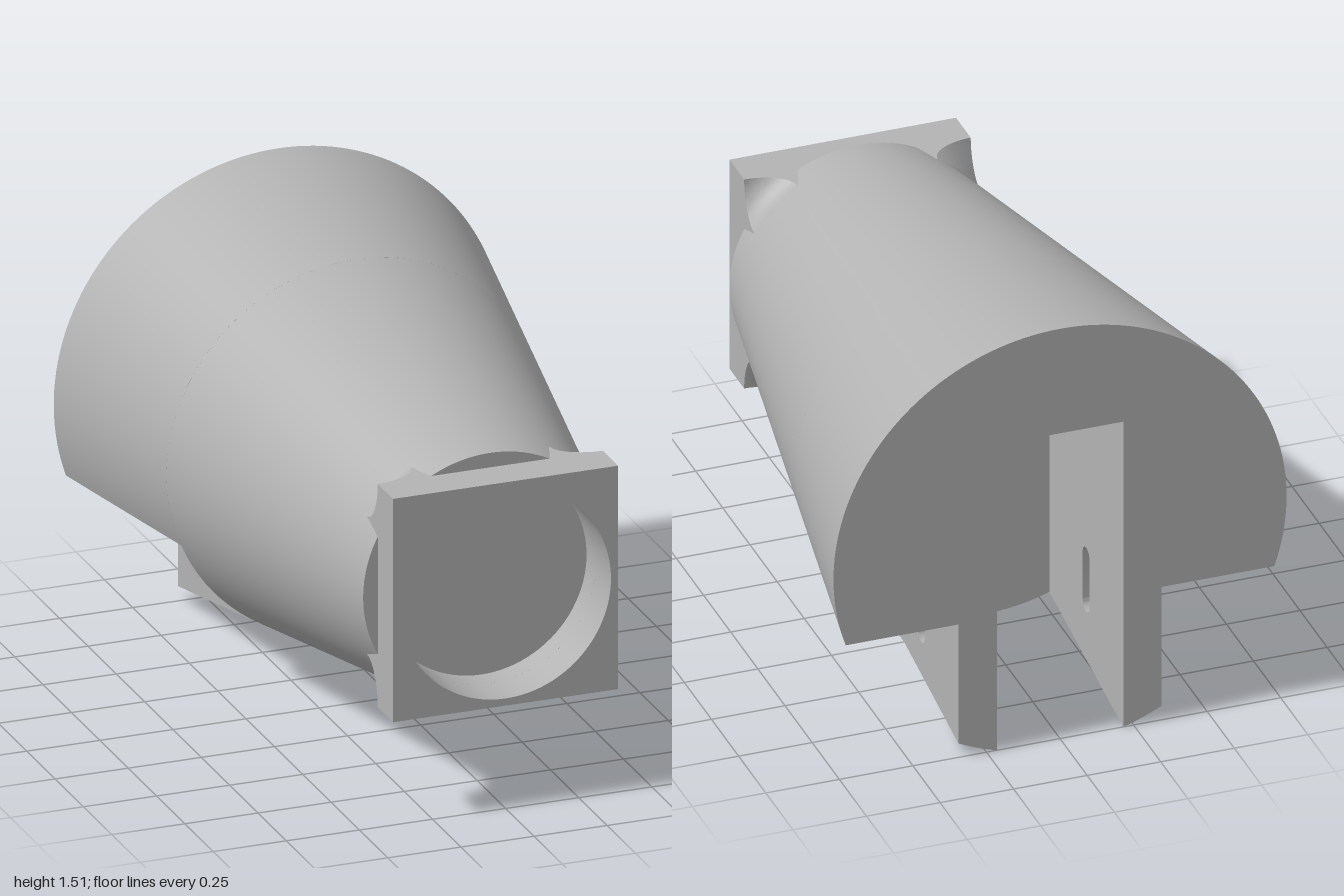
import * as THREE from 'three';
import { toCreasedNormals } from 'three/addons/utils/BufferGeometryUtils.js';

const AXIS_Y = 0.74;          // height of the cone axis
const BACK = -1, STEP = -0.32, NECK = 0.865, FRONT = 1;
const HALF = 0.385;           // half side of the square flange
const BORE = 0.36, BORE_FLOOR = 0.785;
const SLOT = 0.215, LEG = 0.345, NOTCH = -0.25; // relative to the axis
const SEG = 96;

// Radius of the tapered body at depth z
const radius = (z) => 0.435 + (0.77 - 0.435) * (NECK - z) / (NECK - BACK);

// Applies a rule to every vertex
function reshape(geo, rule) {
  const p = geo.attributes.position, v = new THREE.Vector3();
  for (let i = 0; i < p.count; i++) {
    v.fromBufferAttribute(p, i);
    rule(v);
    p.setXYZ(i, v.x, v.y, v.z);
  }
  return geo;
}

// Front cone, including the end ring and the blind bore
function frontCone() {
  const pts = [[0, STEP], [radius(STEP), STEP], [radius(NECK), NECK],
    [BORE, NECK], [BORE, BORE_FLOOR], [0, BORE_FLOOR]].map(([r, z]) => new THREE.Vector2(r, z));
  return new THREE.LatheGeometry(pts, SEG).rotateX(Math.PI / 2);
}

// Rear cone above the side notches, with the central slot
function rearCone() {
  const limit = (r) => Math.PI / 2 + Math.asin(-NOTCH / r); // arc end, from the top
  const R0 = radius(BACK), end0 = limit(R0), pts = [];
  for (let i = 0; i <= SEG; i++) {
    const a = end0 * (1 - 2 * i / SEG);
    pts.push(new THREE.Vector2(R0 * Math.sin(a), R0 * Math.cos(a)));
  }
  for (const [x, y] of [[-SLOT, NOTCH], [-SLOT, HALF], [SLOT, HALF], [SLOT, NOTCH]]) {
    pts.push(new THREE.Vector2(x, y));
  }
  const geo = new THREE.ExtrudeGeometry(new THREE.Shape(pts),
    { depth: STEP - BACK, steps: 8, bevelEnabled: false }).translate(0, 0, BACK);
  return reshape(geo, (v) => {
    if (Math.hypot(v.x, v.y) < R0 - 0.01) return;
    const r = radius(v.z), a = Math.atan2(v.x, v.y) * limit(r) / end0;
    v.x = r * Math.sin(a);
    v.y = r * Math.cos(a);
  });
}

// Leg plate with an oblong hole; its underside follows the cone
function leg(x0) {
  const low = -0.6, pts = [];
  for (let i = 0; i <= 8; i++) pts.push(new THREE.Vector2(-STEP + (STEP - BACK) * i / 8, low));
  pts.push(new THREE.Vector2(-BACK, NOTCH), new THREE.Vector2(-STEP, NOTCH));
  const shape = new THREE.Shape(pts);
  const hole = new THREE.Path(), r = 0.0325, u = 0.658;
  hole.absarc(u, 0.4425 - AXIS_Y, r, 0, Math.PI, false);
  hole.absarc(u, 0.2725 - AXIS_Y, r, Math.PI, Math.PI * 2, false);
  hole.closePath();
  shape.holes.push(hole);
  const geo = new THREE.ExtrudeGeometry(shape,
    { depth: LEG - SLOT, steps: 4, curveSegments: 16, bevelEnabled: false })
    .rotateY(Math.PI / 2).translate(x0, 0, 0);
  return reshape(geo, (v) => {
    if (v.y < low + 0.01) v.y = -Math.sqrt(radius(v.z) ** 2 - v.x ** 2);
  });
}

// Square flange with round bore
function flange() {
  const shape = new THREE.Shape();
  shape.moveTo(-HALF, -HALF).lineTo(HALF, -HALF).lineTo(HALF, HALF).lineTo(-HALF, HALF).closePath();
  const hole = new THREE.Path();
  hole.absarc(0, 0, BORE, 0, Math.PI * 2, true);
  shape.holes.push(hole);
  return new THREE.ExtrudeGeometry(shape,
    { depth: FRONT - NECK, curveSegments: SEG, bevelEnabled: false }).translate(0, 0, NECK);
}

// Concave fillet behind the flange, trimmed to the square so only corners show
function cornerFillets() {
  const rho = 0.091, outer = HALF * Math.SQRT2, rows = 16, n = 12, per = 4 * (n + 1);
  const pos = [], idx = [];
  for (let j = 0; j <= rows; j++) {
    const t = (j / rows) * Math.PI / 2;
    const z = NECK - rho + rho * Math.sin(t), R = outer - rho * Math.cos(t);
    const a0 = Math.acos(Math.min(1, HALF / R));
    for (let c = 0; c < 4; c++) {
      for (let i = 0; i <= n; i++) {
        const a = c * Math.PI / 2 + a0 + (Math.PI / 2 - 2 * a0) * i / n;
        pos.push(R * Math.cos(a), R * Math.sin(a), z);
      }
    }
  }
  for (let j = 0; j < rows; j++) {
    for (let i = 0; i < per; i++) {
      const a = j * per + i, b = j * per + (i + 1) % per;
      idx.push(a, b, b + per, a, b + per, a + per);
    }
  }
  const geo = new THREE.BufferGeometry();
  geo.setAttribute('position', new THREE.Float32BufferAttribute(pos, 3));
  geo.setIndex(idx);
  return geo;
}

export function createModel() {
  const grey = new THREE.MeshStandardMaterial({ color: 0xb3b3b3 });
  grey.name = 'grey';
  const model = new THREE.Group();
  model.name = 'taperedAdapter';
  const add = (name, geo) => {
    const mesh = new THREE.Mesh(toCreasedNormals(geo, 0.4), grey);
    mesh.name = name;
    mesh.position.y = AXIS_Y;
    model.add(mesh);
  };
  add('frontCone', frontCone());
  add('rearCone', rearCone());
  add('leftLeg', leg(SLOT));
  add('rightLeg', leg(-LEG));
  add('squareFlange', flange());
  add('cornerFillets', cornerFillets());
  return model;
}
